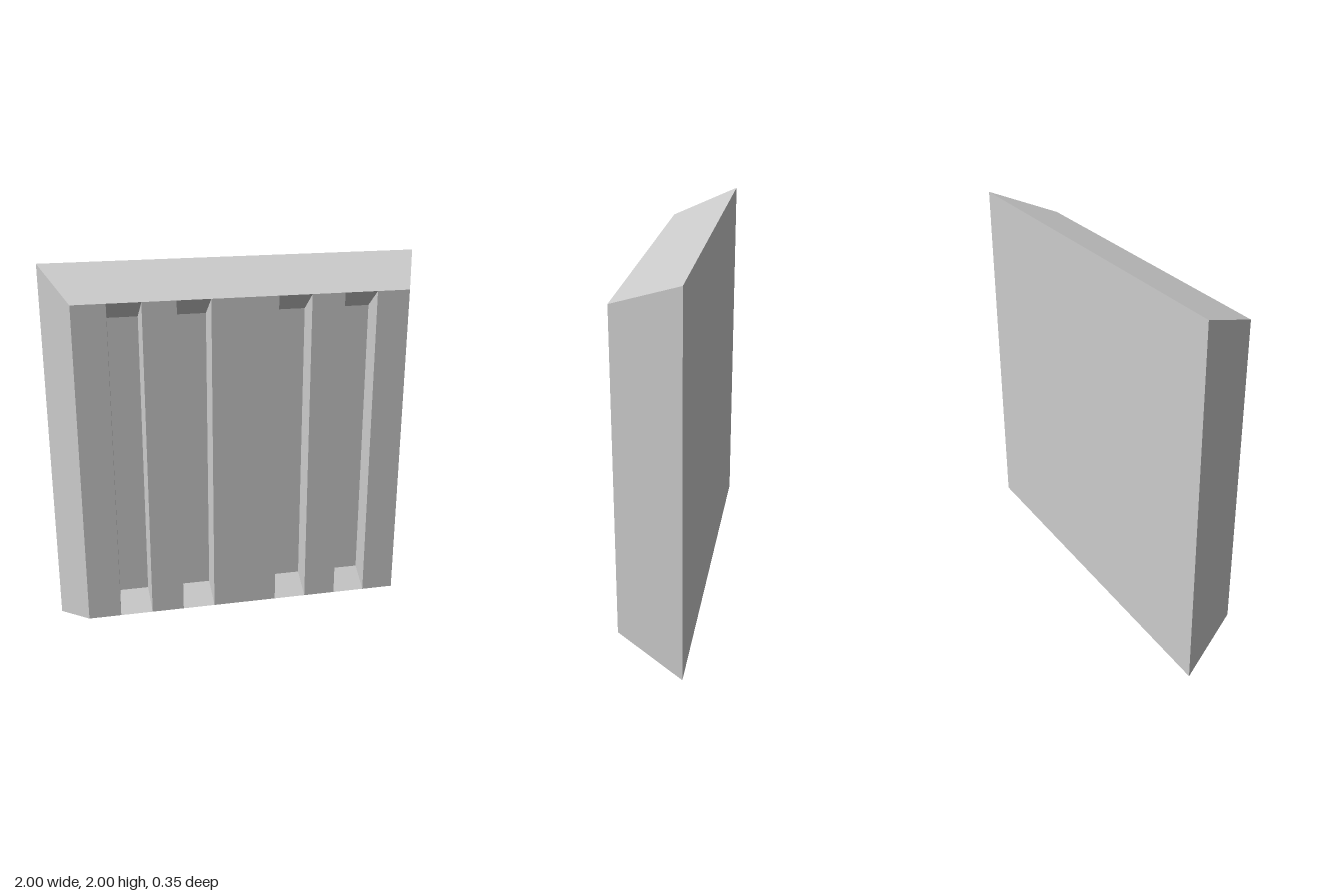
import * as THREE from 'three';

const BACK = -0.175, FRONT = 0.175, FLOOR = 0.068;

// Rectangle outline, counter-clockwise seen from the front
const rect = (x0, x1, y0, y1, z) => [[x0, y0, z], [x1, y0, z], [x1, y1, z], [x0, y1, z]];

// Four flat walls joining rectangle a to rectangle b
function walls(a, b) {
  const pos = [];
  for (let i = 0; i < 4; i++) {
    const j = (i + 1) % 4;
    for (const p of [a[i], a[j], b[j], a[i], b[j], b[i]]) pos.push(...p);
  }
  const geo = new THREE.BufferGeometry();
  geo.setAttribute('position', new THREE.Float32BufferAttribute(pos, 3));
  geo.computeVertexNormals();
  return geo;
}

// Flat panel filling a rectangle, facing forward
function panel(r) {
  const [[x0, y0, z], , [x1, y1]] = r;
  return new THREE.PlaneGeometry(x1 - x0, y1 - y0).translate((x0 + x1) / 2, (y0 + y1) / 2, z);
}

export function createModel() {
  const model = new THREE.Group();
  model.name = 'groovedPanel';
  const material = new THREE.MeshStandardMaterial({ color: 0xcccccc, flatShading: true });
  const add = (name, geo) => {
    const mesh = new THREE.Mesh(geo, material);
    mesh.name = name;
    model.add(mesh);
    return mesh;
  };

  // Bevelled rim and back
  const y0 = 0.14, y1 = 1.86;
  const back = rect(-1, 1, 0, 2, BACK);
  add('bevelledRim', walls(back, rect(-0.86, 0.86, y0, y1, FRONT)));
  add('backFace', new THREE.PlaneGeometry(2, 2).rotateY(Math.PI).translate(0, 1, BACK));

  // Front face: raised strips alternating with sunken grooves
  const edges = [-0.86, -0.688, -0.516, -0.344, -0.172, 0.172, 0.344, 0.516, 0.688, 0.86];
  for (let i = 0; i < edges.length - 1; i++) {
    const l = edges[i], r = edges[i + 1];
    const mouth = rect(l, r, y0, y1, FRONT);
    if (i % 2 === 0) {
      add('frontStrip', panel(mouth));
    } else {
      const floor = rect(l + 0.009, r - 0.009, 0.235, 1.765, FLOOR);
      add('grooveWalls', walls(mouth, floor));
      add('grooveFloor', panel(floor));
    }
  }
  return model;
}
